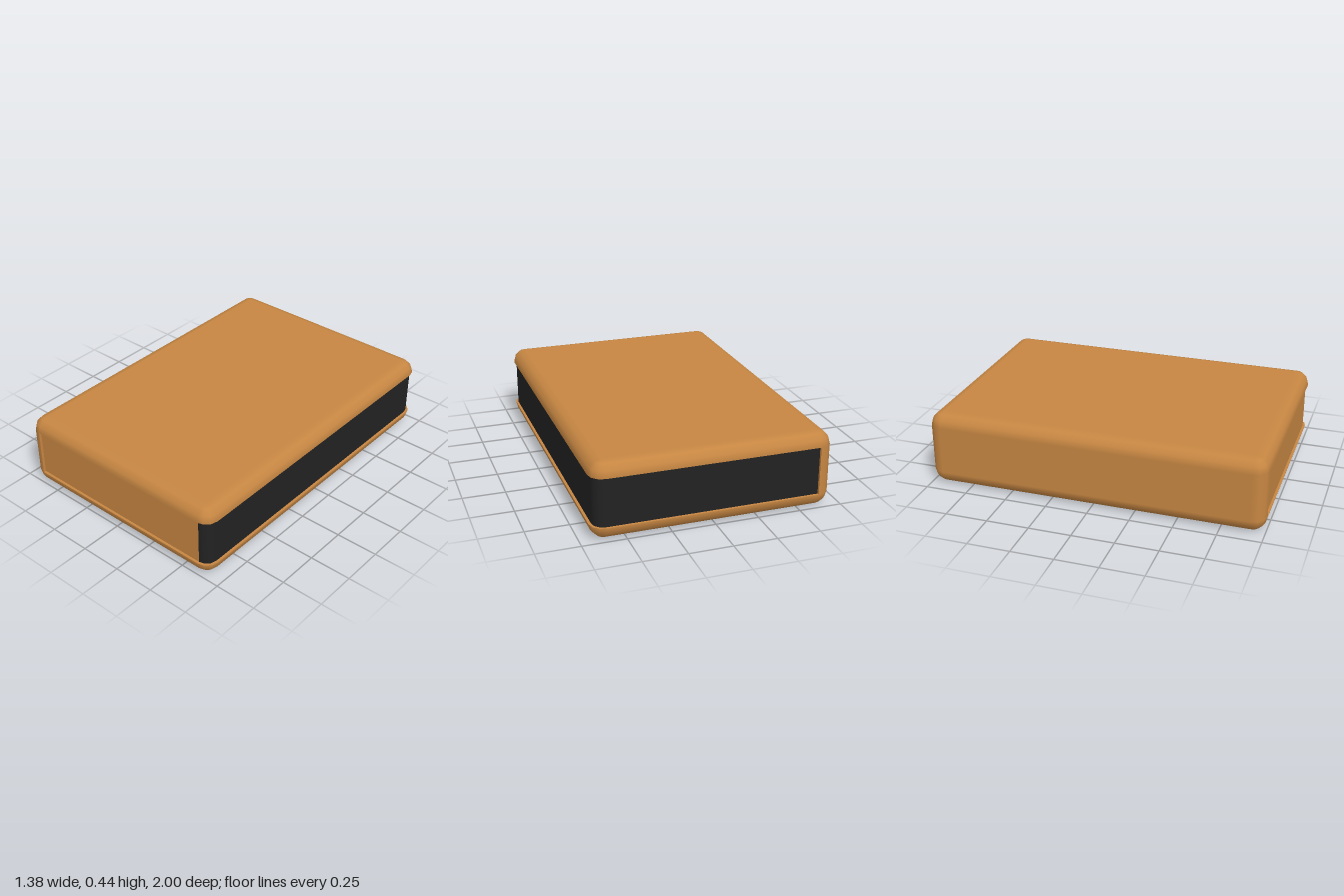
import * as THREE from 'three';

const R = 0.08, INSET = 0.015, STEPS = 3;   // edge radius, slot depth, bevel steps
const CX = 0.61, CZ = 0.92;                 // centres of the rounded corners
const Y0 = 0.08, Y1 = 0.365, MID = (Y0 + Y1) / 2;

const tan = new THREE.MeshStandardMaterial({ color: 0xc68642 });
const dark = new THREE.MeshStandardMaterial({ color: 0x222222 });

// Four rounded corners of the plan, counted from +x towards +z
const corners = [[1, 1], [-1, 1], [-1, -1], [1, -1]].map(([sx, sz], k) =>
  Array.from({ length: STEPS + 1 }, (_, i) => {
    const a = (k + i / STEPS) * Math.PI / 2;
    return { x: sx * CX, z: sz * CZ, c: Math.cos(a), s: Math.sin(a) };
  }));
const [c0, c1, c2, c3] = corners;
const fullLoop = [...c0, ...c1, ...c2, ...c3, c0[0]];
const spineLoop = [...c1, ...c2];
const slotLoop = [c2[STEPS], ...c3, ...c0, c1[0]];

// Loft rows {r, y, out, up, scale} along a plan loop, with exact normals
function loft(loop, rows) {
  const pos = [], nor = [], idx = [], n = loop.length;
  for (const { r, y, out = 1, up = 0, scale = 1 } of rows)
    for (const p of loop) {
      pos.push(p.x * scale + p.c * r, y, p.z * scale + p.s * r);
      nor.push(p.c * out, up, p.s * out);
    }
  for (let i = 0; i < rows.length - 1; i++)
    for (let j = 0; j < n - 1; j++) {
      const a = i * n + j, b = a + n;
      idx.push(a, b, a + 1, b, b + 1, a + 1);
    }
  const g = new THREE.BufferGeometry();
  g.setAttribute('position', new THREE.Float32BufferAttribute(pos, 3));
  g.setAttribute('normal', new THREE.Float32BufferAttribute(nor, 3));
  g.setIndex(idx);
  return g;
}

function add(parent, name, geometry, material) {
  const mesh = new THREE.Mesh(geometry, material);
  mesh.name = name;
  parent.add(mesh);
  return mesh;
}

// Pillow-edged cover with a thin lip overhanging the slot
function makeCover(name) {
  const g = new THREE.Group();
  g.name = name;
  const h = Y1 - MID, rows = [];
  for (let i = 0; i <= STEPS; i++) {
    const a = i / STEPS * Math.PI / 2;
    rows.push({ r: R * Math.cos(a), y: h + R * Math.sin(a), out: Math.cos(a), up: Math.sin(a) });
  }
  rows.push({ r: 0, y: h + R, out: 0, up: 1, scale: 0 });
  add(g, 'coverShell', loft(fullLoop, rows), tan);
  add(g, 'coverLip', loft(slotLoop, [
    { r: R - INSET, y: h, out: 0, up: -1 }, { r: R, y: h, out: 0, up: -1 }]), tan);
  g.position.y = MID;
  return g;
}

export function createModel() {
  const model = new THREE.Group();
  model.name = 'book';

  // Covers: the lower one is the upper one turned over
  const bottom = makeCover('bottomCover');
  bottom.rotation.x = Math.PI;
  model.add(makeCover('topCover'), bottom);

  // Rounded spine along -x
  const wall = r => [{ r, y: Y0 }, { r, y: Y1 }];
  add(model, 'spine', loft(spineLoop, wall(R)), tan);

  // Narrow end faces of the spine, where the slot begins
  for (const side of [1, -1]) {
    const end = add(model, 'spineEnd', new THREE.PlaneGeometry(INSET, Y1 - Y0), tan);
    end.rotation.y = Math.PI / 2;
    end.position.set(-CX, MID, side * (CZ + R - INSET / 2));
  }

  // Recessed page block: dark on the back and +x side, tan on the front
  add(model, 'pages', loft(slotLoop.slice(0, -1), wall(R - INSET)), dark);
  add(model, 'frontPanel', loft(slotLoop.slice(-2), wall(R - INSET)), tan);

  return model;
}
